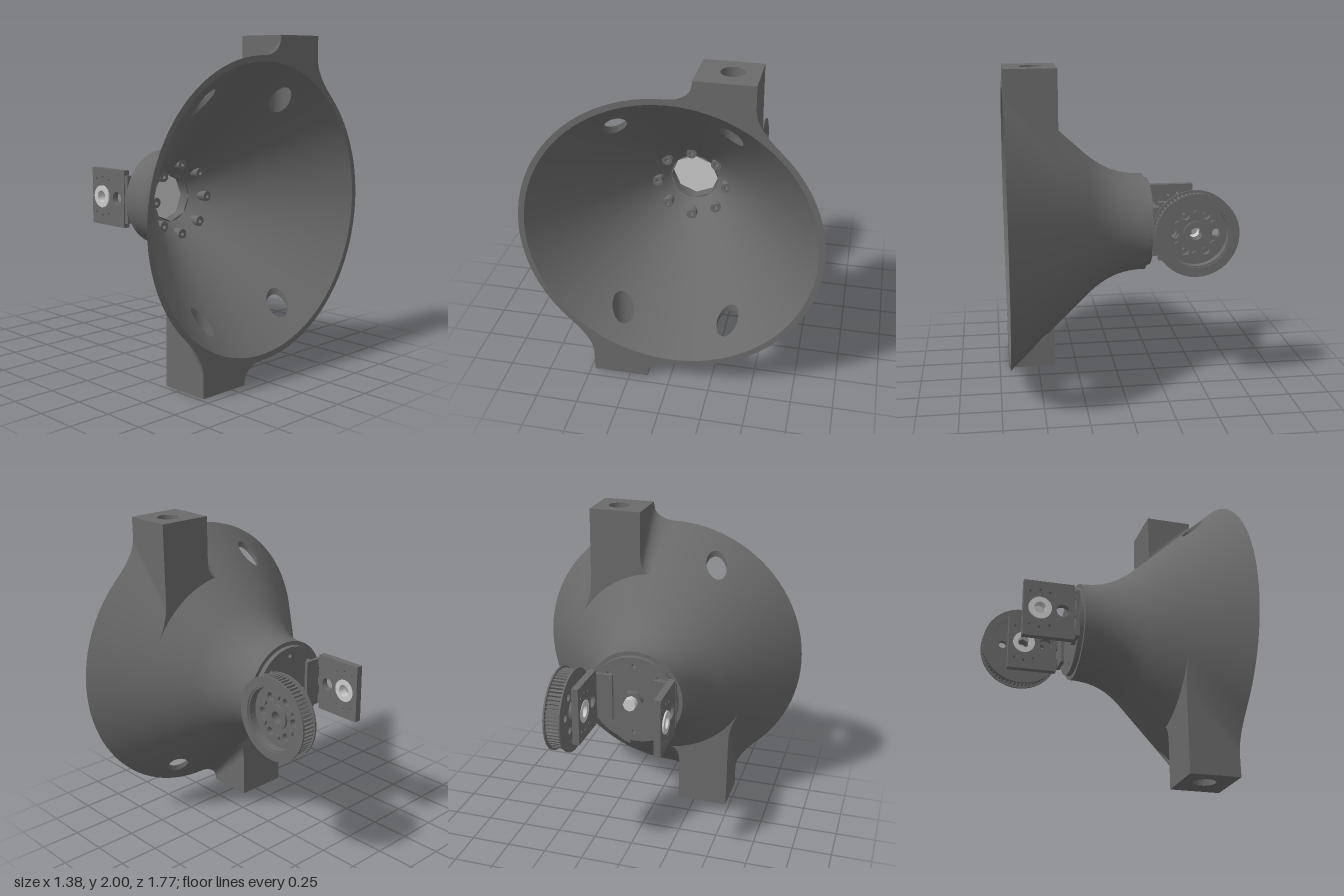
import * as THREE from 'three';
import { ParametricGeometry } from 'three/addons/geometries/ParametricGeometry.js';

const dark = new THREE.MeshStandardMaterial({ color: 0x6a6a6a, side: THREE.DoubleSide });
const light = new THREE.MeshStandardMaterial({ color: 0xcccccc, side: THREE.DoubleSide });
const lerp = THREE.MathUtils.lerp, PI = Math.PI;

function add(parent, name, geo, mat = dark) {
  const mesh = new THREE.Mesh(geo, mat);
  mesh.name = name;
  parent.add(mesh);
  return mesh;
}
const surface = (fn, nu, nv) =>
  new ParametricGeometry((u, v, p) => p.set(...fn(u, v)), nu, nv);

// Cone radii along the x axis
const outer = x => x > 0.2 ? 0.885 - (0.69 - x) * 0.908
  : 0.3 + 0.14 * Math.pow(Math.max(0, (x + 0.16) / 0.36), 2.33);
const inner = x => 0.15 + (x + 0.08) * 0.909;
const polar = (x, r, a) => [x, 1 + r * Math.cos(a), r * Math.sin(a)];
const rise = (r, z) => 1 + Math.sqrt(Math.max(0, r * r - z * z));
const HX = 0.53, HZ = 0.325, HR = 0.066;

// Point on a rectangle of unit half size in direction a
function square(a) {
  const c = Math.cos(a), s = Math.sin(a), m = Math.max(Math.abs(c), Math.abs(s));
  return [c / m, s / m];
}

// One side of the mounting block: straight wall, then a fillet onto the cone
function blockSide(dir, x, v) {
  const e = dir > 0 ? -0.14 : -0.475, r = outer(x);
  const t = Math.max(0, (v - 0.1) / 0.9);
  const z = e + dir * 0.14 * (r / 0.885) ** 2 * t;
  const y = Math.min(2, rise(r, z) + 0.115 * (1 - Math.sqrt(Math.max(0, 1 - (1 - t) ** 2))));
  return [x, v < 0.1 ? lerp(2, y, v / 0.1) : y, z];
}

function createHalfCone() {
  const half = new THREE.Group();
  half.name = 'coneHalf';
  const band = (name, rf, x0, x1, a0, a1, nx, na) => add(half, name, surface((u, v) => {
    const x = lerp(x0, x1, v);
    return polar(x, rf(x), lerp(a0, a1, u));
  }, na, nx));
  for (const [name, rf, start] of [['outerShell', outer, -0.16], ['innerShell', inner, -0.08]]) {
    band(name, rf, start, 0.42, -PI / 2, PI / 2, 24, 48);
    band(name, rf, 0.65, 0.69, -PI / 2, PI / 2, 1, 48);
    for (const [a, b] of [[-PI / 2, -0.72], [-0.27, 0.27], [0.72, PI / 2]])
      band(name, rf, 0.42, 0.65, a, b, 2, 14);
    // Shell patch around each vertical hole
    for (const s of [-1, 1]) add(half, name, surface((u, v) => {
      const f = u * 2 * PI, [cx, cz] = square(f), hx = HX + HR * Math.cos(f);
      const ha = Math.asin((HZ + HR * Math.sin(f)) / rf(hx));
      const x = lerp(hx, 0.535 + 0.115 * cx, v);
      return polar(x, rf(x), s * lerp(ha, 0.495 + 0.225 * cz, v));
    }, 48, 4));
  }
  // Flat rims and the eight-sided throat
  const ring = (name, x, r0, r1) => add(half, name, surface((u, v) =>
    polar(x, lerp(r0, r1, v), (u - 0.5) * PI), 48, 1));
  ring('frontRim', 0.69, 0.85, 0.885);
  ring('baseFace', -0.16, 0.14, 0.3);
  add(half, 'throat', surface((u, v) => polar(lerp(-0.16, -0.08, v), 0.15, (u - 0.5) * PI), 4, 1));

  // Hole walls; the one on the -z side runs up through the block
  for (const s of [-1, 1]) add(half, 'holeWall', surface((u, v) => {
    const f = u * 2 * PI, x = HX + HR * Math.cos(f), z = HZ + HR * Math.sin(f);
    return [x, lerp(rise(inner(x), z), s < 0 ? 2 : rise(outer(x), z), v), s * z];
  }, 40, 1));

  // Mounting block
  add(half, 'blockTop', surface((u, v) => {
    const f = u * 2 * PI, [cx, cz] = square(f);
    return [lerp(HX + HR * Math.cos(f), 0.54 + 0.15 * cx, v), 2,
      lerp(-HZ + HR * Math.sin(f), -0.3075 + 0.1675 * cz, v)];
  }, 48, 1));
  for (const dir of [-1, 1])
    add(half, 'blockSide', surface((u, v) => blockSide(dir, lerp(0.39, 0.69, u), v), 12, 20));
  for (const x of [0.39, 0.69]) {
    const pts = [];
    for (let i = 20; i >= 0; i--) pts.push(blockSide(1, x, i / 20));
    for (let i = 0; i <= 20; i++) pts.push(blockSide(-1, x, i / 20));
    const z0 = pts[pts.length - 1][2], z1 = pts[0][2];
    for (let i = 0; i <= 12; i++) {
      const z = lerp(z0, z1, i / 12);
      pts.push([x, rise(outer(x) - 0.01, z), z]);
    }
    const face = new THREE.ShapeGeometry(new THREE.Shape(pts.map(p => new THREE.Vector2(p[2], p[1]))));
    add(half, 'blockFace', face.rotateY(-PI / 2).translate(x, 0, 0));
  }
  return half;
}

// Extrudes a shape along z from z0 to z1 with round holes [x, y, r]
function plate(shape, holes, z0, z1) {
  for (const [x, y, r] of holes) shape.holes.push(new THREE.Path().absarc(x, y, r, 0, 2 * PI, true));
  return new THREE.ExtrudeGeometry(shape, { depth: z1 - z0, bevelEnabled: false, curveSegments: 20 })
    .translate(0, 0, z0);
}
const disc = r => new THREE.Shape().absarc(0, 0, r, 0, 2 * PI);
const rect = (x0, y0, x1, y1) => new THREE.Shape([[x0, y0], [x1, y0], [x1, y1], [x0, y1]]
  .map(p => new THREE.Vector2(...p)));
const circle = (n, radius, r, start = 0) => Array.from({ length: n }, (_, i) => {
  const a = start + i * 2 * PI / n;
  return [radius * Math.cos(a), radius * Math.sin(a), r];
});
const box = (w, h, d, x, y, z) => new THREE.BoxGeometry(w, h, d).translate(x, y, z);
const rod = (r, x0, x1, n) => new THREE.CylinderGeometry(r, r, x1 - x0, n)
  .rotateZ(PI / 2).translate((x0 + x1) / 2, 0, 0);

function createBracket() {
  const g = new THREE.Group();
  g.name = 'bracket';
  // Base disc with bolt circle, and the centre bolt
  add(g, 'baseDisc', plate(disc(0.275), circle(8, 0.22, 0.013), -0.19, -0.16).rotateY(PI / 2));
  add(g, 'throatPlate', rod(0.15, -0.165, -0.15, 8), light);
  add(g, 'hexNut', rod(0.065, -0.23, -0.185, 6));
  add(g, 'shaftEnd', rod(0.04, -0.28, -0.22, 8), light);
  for (const s of [-1, 1]) {
    // Arm with bearing, access hole and small screw holes
    const small = [];
    for (const dx of [-0.06, 0, 0.06]) for (const dy of [-1, 1])
      small.push([-0.43 + dx, dy * (dx ? 0.108 : 0.122), 0.008]);
    const arm = rect(-0.53, -0.18, -0.22, 0.18);
    add(g, 'arm', plate(arm, [[-0.43, 0, 0.07], [-0.29, 0, 0.04], ...small], 0.228, 0.27)).scale.z = s;
    const bearing = add(g, 'bearing', plate(disc(0.07), [[0, 0, 0.037]], 0.225, 0.28), light);
    bearing.position.x = -0.43;
    bearing.scale.z = s;
    // Foot and fingers joining the arm to the base disc
    add(g, 'foot', box(0.025, 0.3, 0.14, -0.198, 0, s * 0.2));
    for (const y of [-0.12, 0, 0.12])
      add(g, 'finger', box(0.05, 0.05, 0.035, -0.21, y, s * 0.247));
  }
  return g;
}

function createPulley() {
  const g = new THREE.Group();
  g.name = 'pulley';
  // Toothed rim
  const teeth = 60, pts = [];
  for (let i = 0; i < teeth; i++)
    for (const [o, r] of [[0, 0.226], [0.4, 0.226], [0.5, 0.242], [0.9, 0.242]]) {
      const a = (i + o) * 2 * PI / teeth;
      pts.push(new THREE.Vector2(r * Math.cos(a), r * Math.sin(a)));
    }
  add(g, 'toothedRim', plate(new THREE.Shape(pts), [[0, 0, 0.19]], -0.382, -0.294));
  for (const z of [-0.39, -0.295])
    add(g, 'flange', plate(disc(0.255), [[0, 0, 0.2]], z, z + 0.01));
  // Recessed web and hub
  add(g, 'web', plate(disc(0.192), [[0, 0, 0.037], ...circle(6, 0.125, 0.025)], -0.335, -0.3));
  add(g, 'hub', plate(disc(0.075), [[0, 0, 0.037]], -0.35, -0.27));
  for (const [x, y] of circle(6, 0.125, 0, PI / 6))
    add(g, 'webScrew', new THREE.CylinderGeometry(0.018, 0.018, 0.02, 12).rotateX(PI / 2)
      .translate(x, y, -0.342));
  g.position.x = -0.43;
  return g;
}

export function createModel() {
  const model = new THREE.Group();
  model.name = 'coneAssembly';
  // The cone is the same when turned half a revolution about its axis
  const upper = createHalfCone(), lower = upper.clone();
  lower.rotation.x = PI;
  lower.position.y = 2;
  model.add(upper, lower);

  const mount = new THREE.Group();
  mount.name = 'driveMount';
  mount.position.y = 1;
  mount.add(createBracket(), createPulley());
  // Screws around the throat inside the cone
  for (const [y, z] of circle(8, 0.218, 0))
    add(mount, 'throatScrew', plate(disc(0.032), [[0, 0, 0.013]], -0.05, 0.025)
      .rotateY(PI / 2).translate(0, y, z));
  model.add(mount);
  return model;
}
